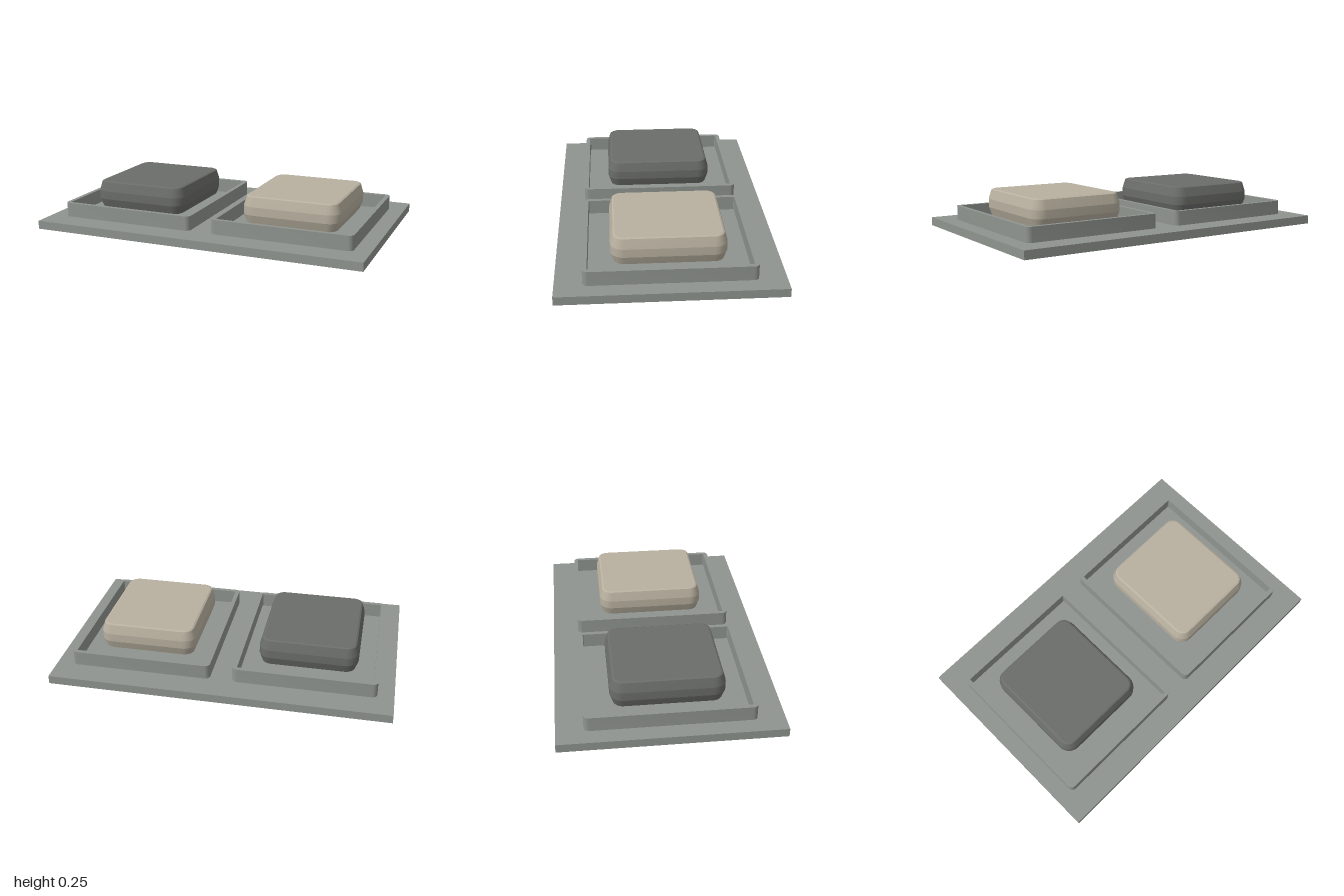
import * as THREE from 'three';
import { toCreasedNormals } from 'three/addons/utils/BufferGeometryUtils.js';

// Counter-clockwise outline of a rounded rectangle
function outline(halfW, halfD, r, steps = 6) {
  const points = [];
  const corners = [[1, 1], [-1, 1], [-1, -1], [1, -1]];
  corners.forEach(([sx, sy], i) => {
    for (let k = 0; k <= steps; k++) {
      const a = (i + k / steps) * Math.PI / 2;
      points.push(new THREE.Vector2(
        sx * (halfW - r) + r * Math.cos(a),
        sy * (halfD - r) + r * Math.sin(a)));
    }
  });
  return points;
}

// Pillow-shaped key lofted through inset rounded rectangles
function keyGeometry(halfW, halfD, r) {
  // [height, inset]
  const profile = [
    [0.085, 0.027], [0.089, 0.018], [0.14, 0], [0.19, 0], [0.245, 0.017], [0.25, 0.027],
  ];
  const positions = [];
  const index = [];
  for (const [y, inset] of profile) {
    for (const p of outline(halfW - inset, halfD - inset, r - inset)) {
      positions.push(p.x, y, -p.y);
    }
  }
  const n = positions.length / 3 / profile.length;
  const last = (profile.length - 1) * n;
  const bottom = positions.length / 3;
  positions.push(0, profile[0][0], 0, 0, profile[profile.length - 1][0], 0);
  for (let j = 0; j < n; j++) {
    const k = (j + 1) % n;
    for (let i = 0; i < last; i += n) {
      index.push(i + j, i + k, i + n + k, i + j, i + n + k, i + n + j);
    }
    index.push(bottom, k, j, bottom + 1, last + j, last + k);
  }
  const geometry = new THREE.BufferGeometry();
  geometry.setAttribute('position', new THREE.Float32BufferAttribute(positions, 3));
  geometry.setIndex(index);
  return toCreasedNormals(geometry, 0.28);
}

// Raised rectangular rim with a square-cornered opening
function rimGeometry(halfW, halfD, wall, height) {
  const shape = new THREE.Shape(outline(halfW, halfD, 0.03));
  shape.holes.push(new THREE.Path(outline(halfW - wall, halfD - wall, 0.004, 1).reverse()));
  const geometry = new THREE.ExtrudeGeometry(shape, { depth: height, bevelEnabled: false });
  geometry.rotateX(-Math.PI / 2);
  return toCreasedNormals(geometry, 0.5);
}

export function createModel() {
  const model = new THREE.Group();
  model.name = 'twoKeyPanel';

  const material = (name, color) => {
    const m = new THREE.MeshStandardMaterial({ color });
    m.name = name;
    return m;
  };
  const panelGrey = material('panelGrey', 0x8f948f);
  const darkGrey = material('darkGrey', 0x6b6d6a);
  const beige = material('beige', 0xb8b09f);

  const add = (parent, name, geometry, mat, y = 0) => {
    const mesh = new THREE.Mesh(geometry, mat);
    mesh.name = name;
    mesh.position.y = y;
    parent.add(mesh);
  };

  // Base plate
  add(model, 'basePlate', new THREE.BoxGeometry(2, 0.05, 1.255), panelGrey, 0.025);

  // Each key stands on a short stem inside its own rim
  const rim = rimGeometry(0.418, 0.475, 0.026, 0.087);
  const stem = new THREE.BoxGeometry(0.3, 0.04, 0.36);
  const key = keyGeometry(0.293, 0.323, 0.075);
  for (const [side, name, color] of [[-1, 'right', darkGrey], [1, 'left', beige]]) {
    const unit = new THREE.Group();
    unit.name = name + 'KeyUnit';
    unit.position.x = side * 0.485;
    add(unit, name + 'Rim', rim, panelGrey, 0.049);
    add(unit, name + 'Stem', stem, panelGrey, 0.068);
    add(unit, name + 'Key', key, color);
    model.add(unit);
  }
  return model;
}
